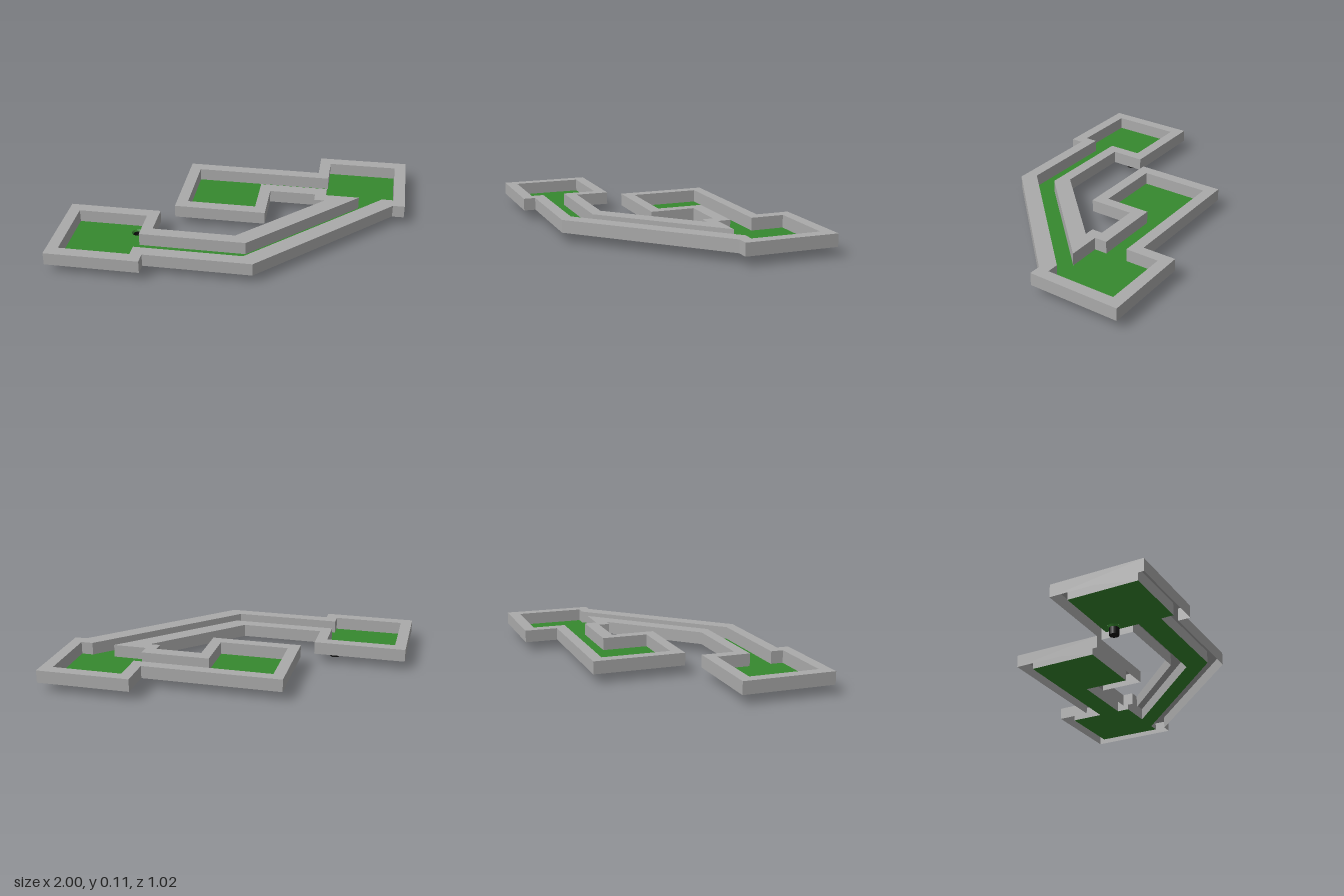
import * as THREE from 'three';

const FLOOR = 0.047, TOP = 0.11;
const HOLE = { x: -0.497, z: -0.166, r: 0.03 };

// Outline corners as [x, z], clockwise from above; both loops match corner by corner
const outer = [
  [-0.675, -0.51], [-0.35, -0.185], [-0.47, -0.066], [-0.182, 0.222], [0.382, 0.222],
  [0.345, 0.185], [0.384, 0.146], [0.219, -0.019], [0.06, 0.14], [-0.265, -0.185],
  [0.06, -0.51], [0.55, -0.02], [0.67, -0.14], [1, 0.185], [0.67, 0.51],
  [0.628, 0.468], [-0.262, 0.468], [-0.632, 0.098], [-0.675, 0.14], [-1, -0.185],
];
const inner = [
  [-0.675, -0.43], [-0.43, -0.185], [-0.55, -0.064], [-0.182, 0.305], [0.545, 0.305],
  [0.425, 0.185], [0.47, 0.14], [0.225, -0.105], [0.06, 0.06], [-0.185, -0.185],
  [0.06, -0.43], [0.55, 0.06], [0.67, -0.06], [0.915, 0.185], [0.67, 0.43],
  [0.628, 0.388], [-0.258, 0.388], [-0.63, 0.016], [-0.675, 0.06], [-0.92, -0.185],
];

const toPoints = (loop) => loop.map(([x, z]) => new THREE.Vector2(x, -z));

// Horizontal sheet with one hole
function sheet(shape, hole, y) {
  shape.holes.push(hole);
  return new THREE.ShapeGeometry(shape, 16).rotateX(-Math.PI / 2).translate(0, y, 0);
}

// Vertical band following a closed loop
function band(loop, facesOut) {
  const pos = [];
  loop.forEach((p, i) => {
    const q = loop[(i + 1) % loop.length];
    const [a, b] = facesOut ? [q, p] : [p, q];
    const lowA = [a[0], FLOOR, a[1]], lowB = [b[0], FLOOR, b[1]];
    const topA = [a[0], TOP, a[1]], topB = [b[0], TOP, b[1]];
    pos.push(...lowA, ...lowB, ...topB, ...lowA, ...topB, ...topA);
  });
  const g = new THREE.BufferGeometry();
  g.setAttribute('position', new THREE.Float32BufferAttribute(pos, 3));
  g.computeVertexNormals();
  return g;
}

function material(name, color) {
  const m = new THREE.MeshStandardMaterial({ color, side: THREE.DoubleSide, flatShading: true });
  m.name = name;
  return m;
}

export function createModel() {
  const model = new THREE.Group();
  model.name = 'miniGolfHole';
  const grey = material('wallGrey', 0xaaaaaa);
  const green = material('turfGreen', 0x36892e);
  const black = material('cupBlack', 0x111111);

  const add = (name, geometry, mat, parent = model) => {
    const mesh = new THREE.Mesh(geometry, mat);
    mesh.name = name;
    parent.add(mesh);
    return mesh;
  };

  // Border wall: hollow underneath, with outer side, inner side and top
  const wall = new THREE.Group();
  wall.name = 'borderWall';
  model.add(wall);
  add('wallOuterSide', band(outer, true), grey, wall);
  add('wallInnerSide', band(inner, false), grey, wall);
  add('wallTop', sheet(new THREE.Shape(toPoints(outer)), new THREE.Path(toPoints(inner)), TOP), grey, wall);

  // Turf floor with the round hole
  const round = new THREE.Path().absarc(HOLE.x, -HOLE.z, HOLE.r, 0, Math.PI * 2, true);
  add('turf', sheet(new THREE.Shape(toPoints(inner)), round, FLOOR), green);

  // Sloping turf lip and the cup beneath it
  const lip = add('cupLip', new THREE.CylinderGeometry(HOLE.r, 0.024, 0.01, 16, 1, true), green);
  lip.position.set(HOLE.x, FLOOR - 0.005, HOLE.z);
  const profile = [[0, 0], [0.024, 0], [0.024, 0.037]].map(([x, y]) => new THREE.Vector2(x, y));
  const cup = add('cup', new THREE.LatheGeometry(profile, 16), black);
  cup.position.set(HOLE.x, 0, HOLE.z);

  return model;
}
